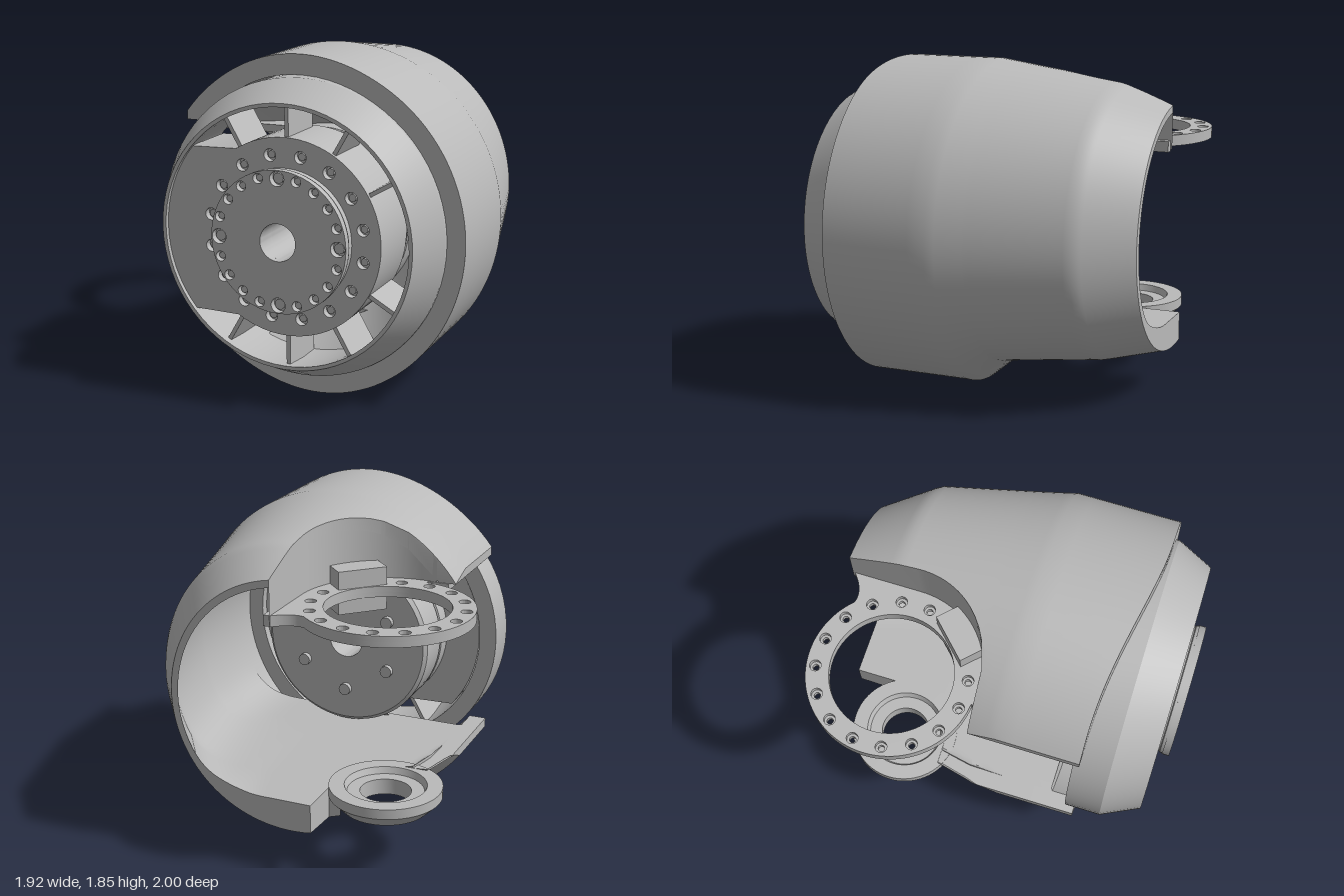
import * as THREE from 'three';
import { toCreasedNormals } from 'three/addons/utils/BufferGeometryUtils.js';

const CX = 0.05, CY = 0.93;      // main axis, along z
const RX = -0.5, RZ = -0.54;     // side joint axis, along y
const TOP = 1.44, FLOOR = 0.42;  // heights of the side opening
const { PI, cos, sin, sqrt, max, min, abs } = Math;
const { lerp, clamp, smoothstep } = THREE.MathUtils;

// housing cross-sections: z, centre x, half width, height above and below the axis, belly lift, wall
const SECTIONS = [
  [-0.93, -0.115, 0.695, 0.71, 0.69, 0.01, 0.04],
  [-0.65, 0.015, 0.765, 0.81, 0.76, 0.04, 0.05],
  [-0.1, 0.03, 0.88, 0.89, 0.88, 0.12, 0.07],
  [0.1, 0.035, 0.925, 0.92, 0.928, 0, 0.11],
  [0.71, 0.035, 0.925, 0.92, 0.928, 0, 0.11],
];

function section(z, inner) {
  let i = 0;
  while (i < SECTIONS.length - 2 && z > SECTIONS[i + 1][0]) i++;
  const a = SECTIONS[i], b = SECTIONS[i + 1];
  const t = clamp((z - a[0]) / (b[0] - a[0]), 0, 1);
  const [, cx, rx, up, down, lift, wall] = a.map((v, k) => lerp(v, b[k], t));
  const w = inner ? wall : 0;
  return { cx, rx: rx - w, up: up - w, down: down - w, lift };
}

// sweep of one section, stopping at the side opening and the joint cut-outs
function sectionPoints(z, inner, n, front) {
  const s = section(z, inner);
  const atX = (x) => Math.acos(clamp((x - s.cx) / s.rx, -1, 1));
  const d = z - RZ;
  let start = min(PI - Math.asin((TOP - CY) / s.up), atX(-0.7));
  let end = min(PI - Math.asin((CY - FLOOR) / s.down), atX(-0.7));
  if (z < -0.055) start = min(start, atX(d < 0 ? -0.01 : RX + sqrt(max(0, 0.2401 - d * d))));
  if (abs(d) < 0.25) end = min(end, atX(RX + sqrt(0.0625 - d * d)));
  if (d < -0.15) end = min(end, atX(-0.23));
  return Array.from({ length: n + 1 }, (_, i) => {
    const a = clamp(lerp(2.6, -2.6, i / n), -end, start);
    const x = s.cx + s.rx * cos(a);
    let y = CY + (a > 0 ? s.up : s.down) * sin(a) + s.lift * max(0, -sin(a)) ** 4;
    if (inner && z < 0.405) { // flat floor, rounded into the wall
      const k = 0.001 + 0.2 * smoothstep(x, -0.2, 0.3);
      const h = max(k - abs(y - FLOOR), 0);
      y = max(y, FLOOR) + h * h / (4 * k);
    }
    // cut edges drop to the level of the opening
    if (i === 0 && z > -0.055) y = TOP;
    if (i === n) y = FLOOR;
    // wavy front edge
    return [x, y, front ? 0.56 + 0.14 * smoothstep(x, -0.6, 0.55) : z];
  });
}

function housingGeometry() {
  const n = 96, zs = [];
  for (let i = 0; i <= 24; i++) zs.push(lerp(-0.93, -0.056, i / 24));
  zs.push(-0.691, -0.689, -0.291, -0.289, -0.1, -0.054, 0, 0.05, 0.1, 0.2, 0.3, 0.4, 0.41, 0.52, 0.7);
  zs.sort((p, q) => p - q);
  const pts = [], pos = [], m = 2 * (n + 1);
  zs.forEach((z, k) => {
    const front = k === zs.length - 1;
    const loop = [...sectionPoints(z, false, n, front), ...sectionPoints(z, true, n, front).reverse()];
    loop.forEach((p) => pts.push(new THREE.Vector3(...p)));
  });
  // one triangle, skipped where the cut-outs collapse it
  const tri = (...ids) => {
    const [a, b, c] = ids.map((i) => pts[i]);
    const area = b.clone().sub(a).cross(c.clone().sub(a)).length();
    if (area > 1e-9) for (const p of [a, b, c]) pos.push(p.x, p.y, p.z);
  };
  for (let k = 0; k < zs.length - 1; k++)
    for (let i = 0; i < m; i++) {
      const a = k * m + i, b = k * m + (i + 1) % m;
      tri(a, a + m, b);
      tri(b, a + m, b + m);
    }
  // rims at both ends
  for (const k of [0, zs.length - 1])
    for (let i = 0; i < n; i++) {
      const a = k * m + i, b = a + 1, c = k * m + m - 1 - i, d = c - 1;
      if (k === 0) { tri(a, b, c); tri(b, d, c); }
      else { tri(a, c, b); tri(b, c, d); }
    }
  const g = new THREE.BufferGeometry();
  g.setAttribute('position', new THREE.Float32BufferAttribute(pos, 3));
  return toCreasedNormals(g, 0.6);
}

// curved wall rising from the upper ring to the housing
function pocketWallGeometry() {
  const path = [[-0.01, -0.93], [-0.01, -0.75]], pos = [], idx = [];
  for (let i = 0; i <= 28; i++) {
    const a = (i / 28) * PI * 0.56;
    path.push([RX + 0.49 * cos(a), RZ + 0.49 * sin(a)]);
  }
  path.forEach(([x, z], i) => {
    const s = section(z, false);
    const y = CY + s.up * sqrt(max(0, 1 - ((x - s.cx) / s.rx) ** 2)) - 0.01;
    pos.push(x, 1.39, z, x, max(y, 1.4), z);
    if (i) idx.push(2 * i - 2, 2 * i - 1, 2 * i, 2 * i, 2 * i - 1, 2 * i + 1);
  });
  const g = new THREE.BufferGeometry();
  g.setAttribute('position', new THREE.Float32BufferAttribute(pos, 3));
  g.setIndex(idx);
  return toCreasedNormals(g, 0.5);
}

const hole = (x, y, r) => new THREE.Path().absarc(x, y, r, 0, PI * 2, true);
const polar = (r, a) => [r * cos(a), r * sin(a)];
const extrude = (shape, depth, seg = 20) =>
  toCreasedNormals(new THREE.ExtrudeGeometry(shape, { depth, bevelEnabled: false, curveSegments: seg }), 0.6);
const lathe = (pts, ...arc) =>
  toCreasedNormals(new THREE.LatheGeometry(pts.map((p) => new THREE.Vector2(...p)), 72, ...arc), 0.4);

// outline of the upper joint ring, blended into the housing
function ringShape(boltRadius) {
  const ring = new THREE.Shape();
  ring.absarc(0, 0, 0.53, 0, 1.66, false);
  ring.absarc(0, 0, 0.46, 1.66, PI * 1.75, false);
  ring.quadraticCurveTo(0.4, -0.3, 0.49, -0.38);
  ring.lineTo(0.53, -0.38);
  ring.holes.push(hole(0, 0, 0.335));
  for (let i = 0; i < 16; i++)
    if (i !== 1 && i !== 2) ring.holes.push(hole(...polar(0.41, (i + 0.5) * PI / 8), boltRadius));
  return ring;
}

export function createModel() {
  const model = new THREE.Group();
  const gray = new THREE.MeshStandardMaterial({ color: 0xbababa, side: THREE.DoubleSide });
  gray.name = 'satin gray';
  const add = (name, geo, x = 0, y = 0, z = 0, parent = model) => {
    const mesh = new THREE.Mesh(geo, gray);
    mesh.name = name;
    mesh.position.set(x, y, z);
    parent.add(mesh);
    return mesh;
  };

  add('housing', housingGeometry());
  add('pocketWall', pocketWallGeometry());
  add('upperWeb', new THREE.BoxGeometry(0.56, 0.04, 0.58), -0.38, 1.42, 0.23);

  // front parts share the main axis
  const axis = new THREE.Group();
  axis.name = 'frontAssembly';
  axis.position.set(CX, CY, 0);
  model.add(axis);
  const turned = (name, pts, ...arc) => add(name, lathe(pts, ...arc).rotateX(PI / 2), 0, 0, 0, axis);

  turned('frontCollar', [[0.71, 0.52], [0.81, 0.52], [0.81, 0.72], [0.71, 0.93], [0.69, 0.93], [0.71, 0.72], [0.71, 0.52]]);
  turned('drum', [[0.1, 0.19], [0.48, 0.19], [0.5, 0.21], [0.5, 0.42], [0.49, 0.425], [0.49, 0.44], [0.5, 0.445],
    [0.5, 0.86], [0.1, 0.86], [0.1, 0.19]]);
  turned('outputHub', [[0.1, 0.86], [0.37, 0.86], [0.37, 0.94], [0.375, 0.945], [0.375, 0.96], [0.1, 0.96], [0.1, 0.86]]);
  turned('innerCone', [[0.49, 0.3], [0.73, 0.6]], PI / 2 - 1.95, 4.2);

  // face plate: deep disc running out to the collar on the open side
  const a = Math.asin(0.45 / 0.53), b = Math.asin(0.45 / 0.71);
  const plate = new THREE.Shape();
  plate.absarc(0, 0, 0.53, a - PI, PI - a, false);
  plate.absarc(0, 0, 0.7, PI - b, PI + b, false);
  plate.holes.push(hole(0, 0, 0.36));
  const boltGeo = (r) => new THREE.CylinderGeometry(r, r, 0.02, 16).rotateX(PI / 2);
  for (let i = 0; i < 16; i++) {
    const p = polar(0.44, (i + 0.5) * PI / 8);
    plate.holes.push(hole(...p, 0.033));
    add('plateBolt', boltGeo(0.02), ...p, 0.87, axis);
  }
  add('facePlate', extrude(plate, 0.36, 32), 0, 0, 0.54, axis);

  // bolted output disc
  const disc = new THREE.Shape().absarc(0, 0, 0.38, 0, PI * 2, false);
  disc.holes.push(hole(0, 0, 0.1));
  for (let i = 0; i < 20; i++) {
    const p = polar(i % 5 ? 0.345 : 0.335, i * PI / 10);
    disc.holes.push(hole(...p, i % 5 ? 0.027 : 0.04));
    add('discBolt', boltGeo(i % 5 ? 0.018 : 0.028), ...p, 0.97, axis);
  }
  add('outputDisc', extrude(disc, 0.04, 32), 0, 0, 0.96, axis);

  // radial ribs between drum and collar
  for (const deg of [120, 90, 60, 30, -30, -60, -90, -120]) {
    const r = deg * PI / 180;
    const rib = add('rib', new THREE.BoxGeometry(0.21, 0.022, 0.3), ...polar(0.605, r), 0.73, axis);
    rib.rotation.z = r;
  }
  // bosses on the back of the drum
  for (let i = 0; i < 6; i++)
    add('drumBoss', new THREE.CylinderGeometry(0.035, 0.035, 0.04, 16).rotateX(PI / 2), ...polar(0.3, (i + 0.5) * PI / 3), 0.18, axis);

  // upper joint ring: counterbored holes over narrow ones
  add('upperJointRing', extrude(ringShape(0.031), 0.03, 32).rotateX(PI / 2), RX, TOP, RZ);
  add('upperJointRingBase', extrude(ringShape(0.017), 0.03, 32).rotateX(PI / 2), RX, TOP - 0.03, RZ);
  const block = add('ringBlock', new THREE.BoxGeometry(0.18, 0.24, 0.28), RX + 0.305, 1.42, RZ + 0.305);
  block.rotation.y = -PI / 4;

  // lower joint ring with stepped bore
  add('lowerJointRing', lathe([[0.14, 0.3], [0.24, 0.3], [0.31, 0.37], [0.31, 0.426], [0.225, 0.426],
    [0.21, 0.39], [0.14, 0.39], [0.14, 0.3]]), RX, 0, RZ);

  return model;
}
